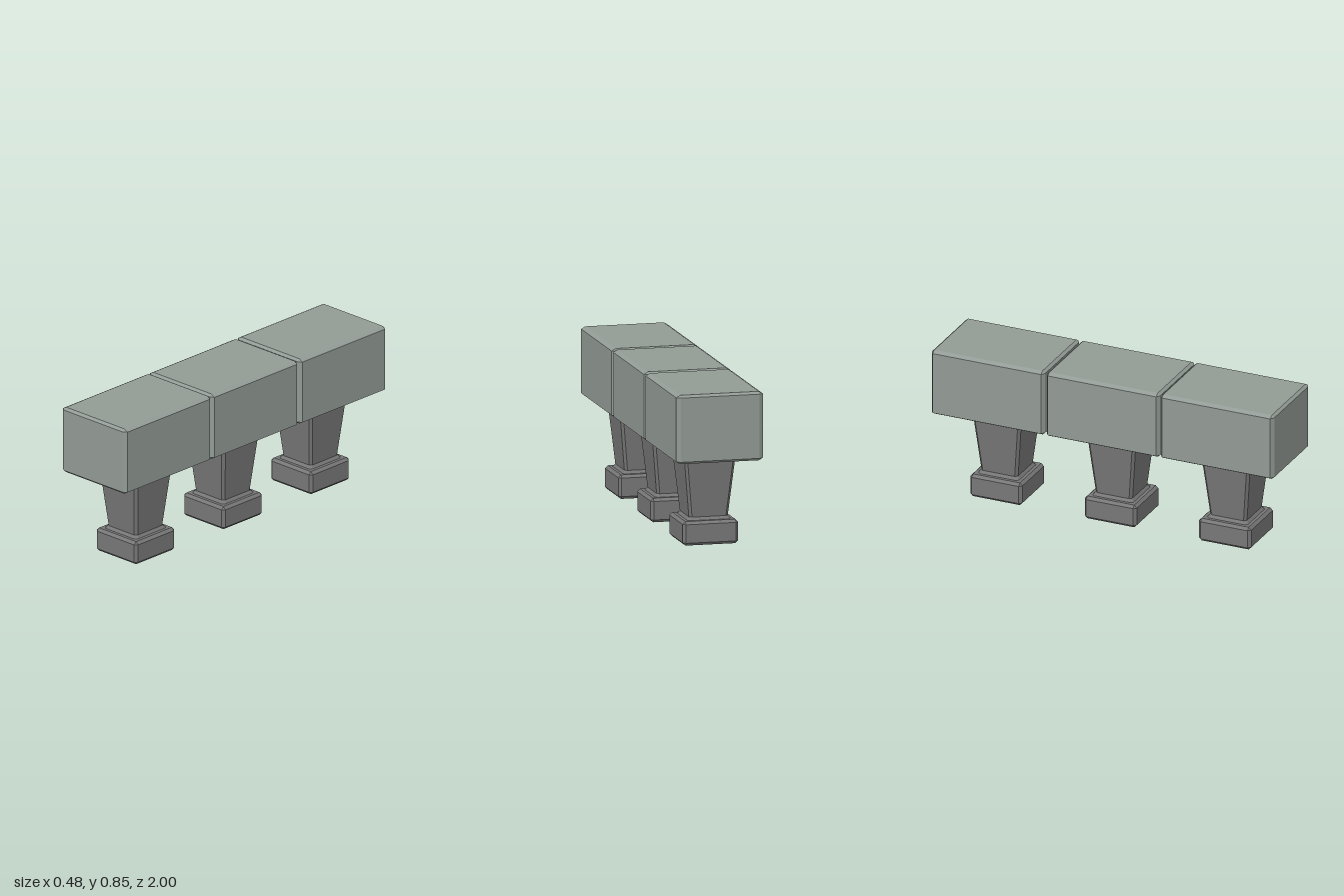
import * as THREE from 'three';

// Bevelled stack: each ring is [y, halfX, halfZ, cornerX, cornerZ], an eight-point outline
function ringStack(rings) {
  const loops = rings.map(([y, hx, hz, cx, cz]) => [
    [hx, hz - cz], [hx, -hz + cz], [hx - cx, -hz], [-hx + cx, -hz],
    [-hx, -hz + cz], [-hx, hz - cz], [-hx + cx, hz], [hx - cx, hz],
  ].map(([x, z]) => new THREE.Vector3(x, y, z)));
  const pos = [];
  const tri = (a, b, c) => {
    const t = new THREE.Triangle(a, b, c);
    if (t.getArea() > 1e-8) pos.push(...a.toArray(), ...b.toArray(), ...c.toArray());
  };
  for (let i = 0; i < loops.length - 1; i++) {
    for (let j = 0; j < 8; j++) {
      const k = (j + 1) % 8;
      const [lo, hi] = [loops[i], loops[i + 1]];
      tri(lo[j], lo[k], hi[k]);
      tri(lo[j], hi[k], hi[j]);
    }
  }
  // End caps
  const first = loops[0], last = loops[loops.length - 1];
  for (let j = 1; j < 7; j++) {
    tri(last[0], last[j], last[j + 1]);
    tri(first[0], first[j + 1], first[j]);
  }
  const geo = new THREE.BufferGeometry();
  geo.setAttribute('position', new THREE.Float32BufferAttribute(pos, 3));
  geo.computeVertexNormals();
  return geo;
}

// Box with every edge chamfered
function chamferBox(y0, y1, hx, hz, bx, by, bz) {
  return ringStack([
    [y0, hx - bx, hz - bz, 0, 0],
    [y0 + by, hx, hz, bx, bz],
    [y1 - by, hx, hz, bx, bz],
    [y1, hx - bx, hz - bz, 0, 0],
  ]);
}

export function createModel() {
  const model = new THREE.Group();
  model.name = 'stoneBeamOnPillars';
  const beamStone = new THREE.MeshStandardMaterial({ color: 0x929b95, flatShading: true });
  const pillarStone = new THREE.MeshStandardMaterial({ color: 0x777777, flatShading: true });

  const blockGeo = chamferBox(0.48, 0.853, 0.238, 0.331, 0.023, 0.013, 0.015);
  const footGeo = chamferBox(0, 0.13, 0.152, 0.152, 0.015, 0.015, 0.015);
  // Tapered shaft with a small flare where it meets the foot
  const shaftGeo = ringStack([
    [0.128, 0.121, 0.121, 0.014, 0.014],
    [0.146, 0.107, 0.107, 0.014, 0.014],
    [0.485, 0.142, 0.142, 0.014, 0.014],
  ]);

  const add = (parent, name, geo, mat, z) => {
    const mesh = new THREE.Mesh(geo, mat);
    mesh.name = name;
    mesh.position.z = z;
    parent.add(mesh);
  };

  // Three beam blocks end to end, each on its own pillar
  for (let i = -1; i <= 1; i++) {
    const section = new THREE.Group();
    section.name = ['backSection', 'middleSection', 'frontSection'][i + 1];
    add(section, 'beamBlock', blockGeo, beamStone, i * 0.669 + (i === 0 ? 0.003 : 0));
    add(section, 'pillarShaft', shaftGeo, pillarStone, i * 0.668 + 0.009);
    add(section, 'pillarFoot', footGeo, pillarStone, i * 0.668 + 0.009);
    model.add(section);
  }
  return model;
}
